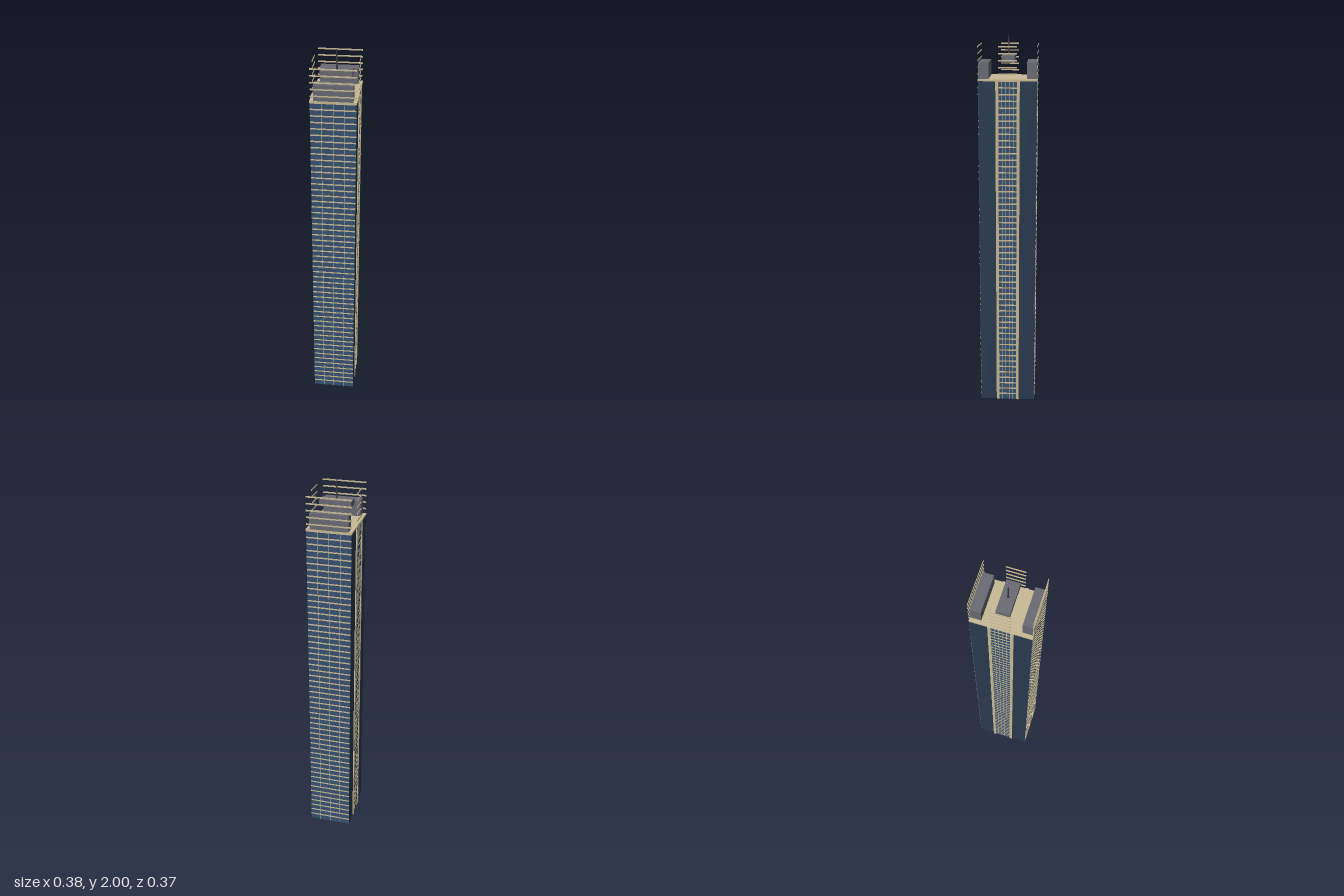
import * as THREE from 'three';

const material = (color) => new THREE.MeshStandardMaterial({ color });
const navy = material(0x2a3a4f), glass = material(0x36506f);
const stone = material(0xc8ba96), grey = material(0x696a72), dark = material(0x3c3e44);

const LENGTH = 0.3, DEPTH = 0.23, ROOF = 1.79;
const FLOORS = 58, STEP = 0.0336;

export function createModel() {
  const tower = new THREE.Group();
  tower.name = 'tower';
  tower.rotation.y = THREE.MathUtils.degToRad(40);

  function box(parent, name, mat, w, h, d, x, y, z) {
    const mesh = new THREE.Mesh(new THREE.BoxGeometry(w, h, d), mat);
    mesh.name = name;
    mesh.position.set(x, y, z);
    parent.add(mesh);
    return mesh;
  }

  // Shaft and roof slab
  box(tower, 'shaft', navy, LENGTH - 0.006, ROOF - 0.01, DEPTH - 0.004, 0, (ROOF - 0.01) / 2, 0);
  box(tower, 'roofSlab', stone, LENGTH, 0.01, DEPTH, 0, ROOF - 0.005, 0);

  // A facade faces +z: glass, floor bands that run on above the roof, and thin mullions
  function facade(name, width, distance, angle, mullions) {
    const group = new THREE.Group();
    group.name = name;
    group.rotation.y = angle;
    box(group, 'glazing', glass, width, ROOF - 0.01, 0.002, 0, (ROOF - 0.01) / 2, distance - 0.002);
    for (let i = 1; i <= FLOORS; i++) {
      box(group, 'floorBand', stone, width, 0.007, 0.003, 0, i * STEP, distance - 0.0012);
    }
    for (const x of mullions) {
      box(group, 'mullion', stone, 0.0025, ROOF - 0.01, 0.003, x, (ROOF - 0.01) / 2, distance - 0.0014);
    }
    tower.add(group);
    return group;
  }

  for (const side of [0, Math.PI]) {
    // Fully banded short ends
    facade('endFacade', DEPTH - 0.004, LENGTH / 2, side + Math.PI / 2, [-0.057, 0, 0.057]);
    // Narrow window strip between two stone ribs on the long sides
    const strip = facade('stripFacade', 0.094, DEPTH / 2, side, [-0.028, -0.0095, 0.0095, 0.028]);
    for (const x of [-0.054, 0.054]) {
      box(strip, 'rib', stone, 0.015, ROOF, 0.006, x, ROOF / 2, DEPTH / 2);
    }
  }

  // Rooftop plant blocks, raised middle block and mast
  for (const s of [-1, 1]) {
    box(tower, 'endPlantBlock', grey, 0.053, 0.08, 0.193, s * 0.1225, ROOF + 0.04, 0);
  }
  box(tower, 'middlePlantBlock', grey, 0.066, 0.03, 0.16, 0, 1.886, 0);
  const mast = new THREE.Mesh(new THREE.CylinderGeometry(0.002, 0.005, 0.1, 8), dark);
  mast.name = 'mast';
  mast.position.y = 1.95;
  tower.add(mast);

  const model = new THREE.Group();
  model.add(tower);
  return model;
}
